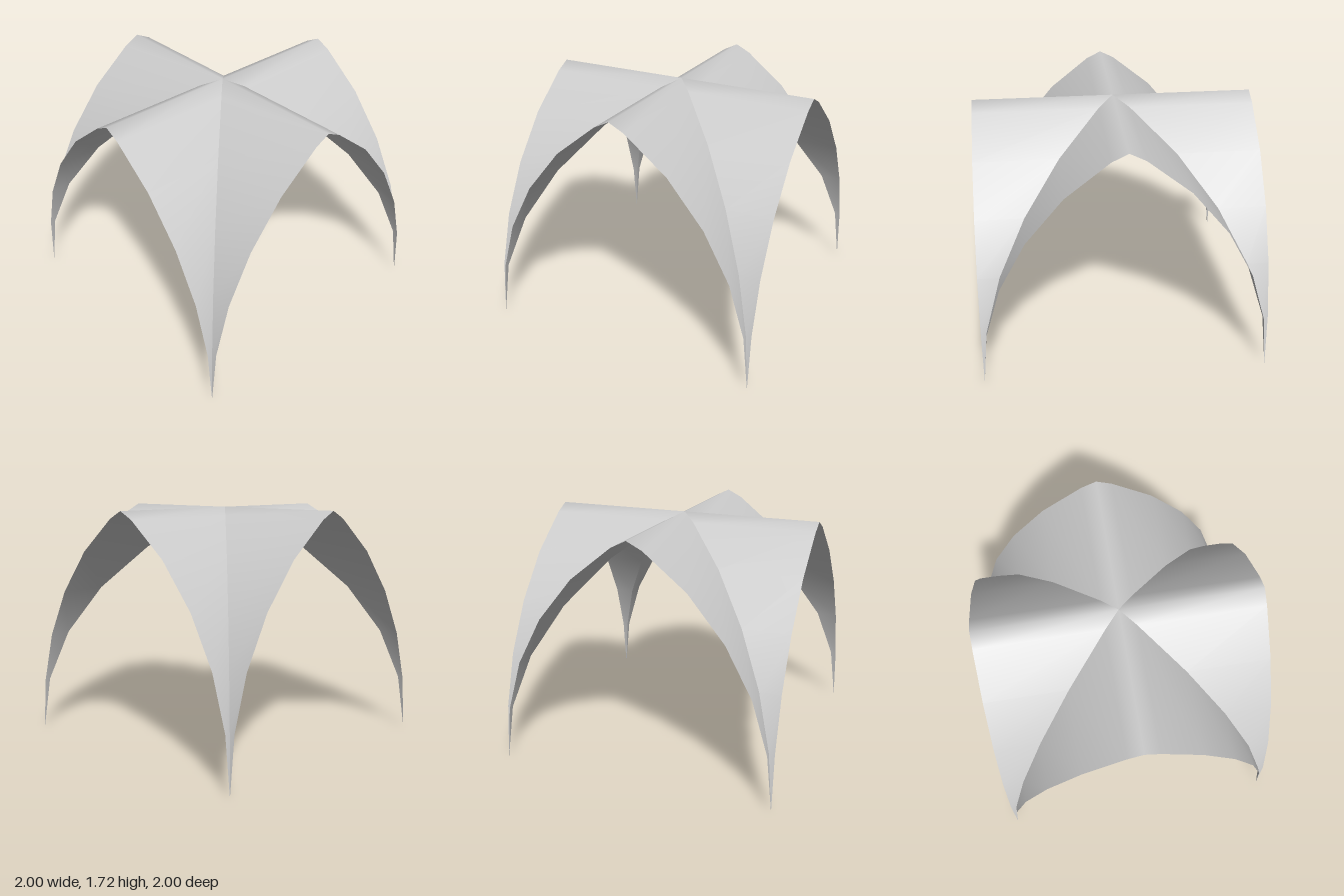
import * as THREE from 'three';

// Half of the pointed arch, from springing point to crown: [distance from centre, height]
const HALF_ARCH = [[1, 0], [0.96, 0.4], [0.85, 0.77], [0.665, 1.115], [0.41, 1.425], [0.11, 1.665], [0, 1.72]];

// One vault web: the arch swept from the diagonal groins out to the open edge
function webGeometry() {
  const arch = [
    ...HALF_ARCH.map(([x, y]) => [-x, y]),
    ...HALF_ARCH.slice(0, -1).reverse(),
  ];
  const positions = [];
  const index = [];
  arch.forEach(([x, y], i) => {
    positions.push(x, y, Math.abs(x), x, y, 1);
    if (i === arch.length - 1) return;
    const a = 2 * i;
    // The web narrows to a point at each foot, so those strips are single triangles
    if (i > 0) index.push(a, a + 1, a + 3);
    if (i < arch.length - 2) index.push(a, a + 3, a + 2);
  });
  const geometry = new THREE.BufferGeometry();
  geometry.setAttribute('position', new THREE.Float32BufferAttribute(positions, 3));
  geometry.setIndex(index);
  geometry.computeVertexNormals();
  return geometry;
}

export function createModel() {
  const vault = new THREE.Group();
  vault.name = 'groinVault';
  const material = new THREE.MeshStandardMaterial({ color: 0xcccccc, side: THREE.DoubleSide });
  const geometry = webGeometry();

  // Four equal webs meeting along the groins
  ['frontWeb', 'leftWeb', 'backWeb', 'rightWeb'].forEach((name, i) => {
    const web = new THREE.Mesh(geometry, material);
    web.name = name;
    web.rotation.y = (i * Math.PI) / 2;
    vault.add(web);
  });
  return vault;
}
